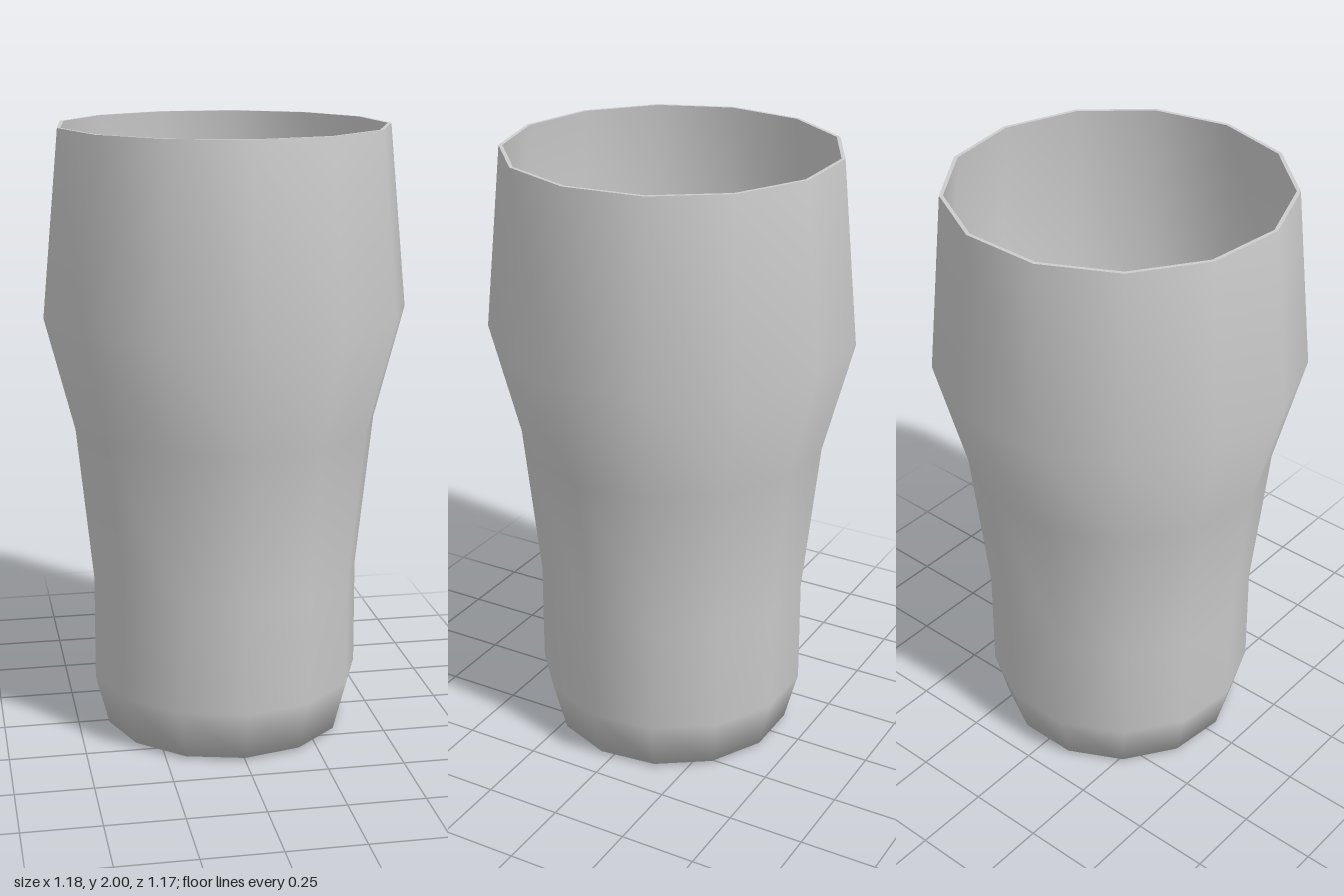
import * as THREE from 'three';

const SIDES = 13;
const WALL = 0.012;

export function createModel() {
  const group = new THREE.Group();
  const glass = new THREE.MeshStandardMaterial({ color: 0xcccccc });
  glass.name = 'pale grey glass';

  // Turns a profile of [radius, height] pairs into a 13-sided smooth shell
  const turn = (name, profile) => {
    const points = profile.map(([r, y]) => new THREE.Vector2(r, y));
    const mesh = new THREE.Mesh(new THREE.LatheGeometry(points, SIDES), glass);
    mesh.name = name;
    mesh.position.z = -0.009; // centres the odd-sided outline
    group.add(mesh);
  };

  // Wall heights shared by the inside and outside
  const wall = [
    [0.447, 0.18], [0.445, 0.53], [0.497, 1.04], [0.592, 1.41], [0.534, 2],
  ];

  // Outside with a slightly bowed base
  turn('outerShell', [[0, 0], [0.403, 0.01], ...wall]);

  // Inside wall and floor, running from rim down
  const inner = wall.map(([r, y]) => [r - WALL, y]).reverse();
  turn('innerShell', [...inner, [0.39, 0.022], [0, 0.014]]);

  // Flat lip joining both shells
  turn('rim', [[0.534, 2], [0.534 - WALL, 2]]);

  return group;
}
